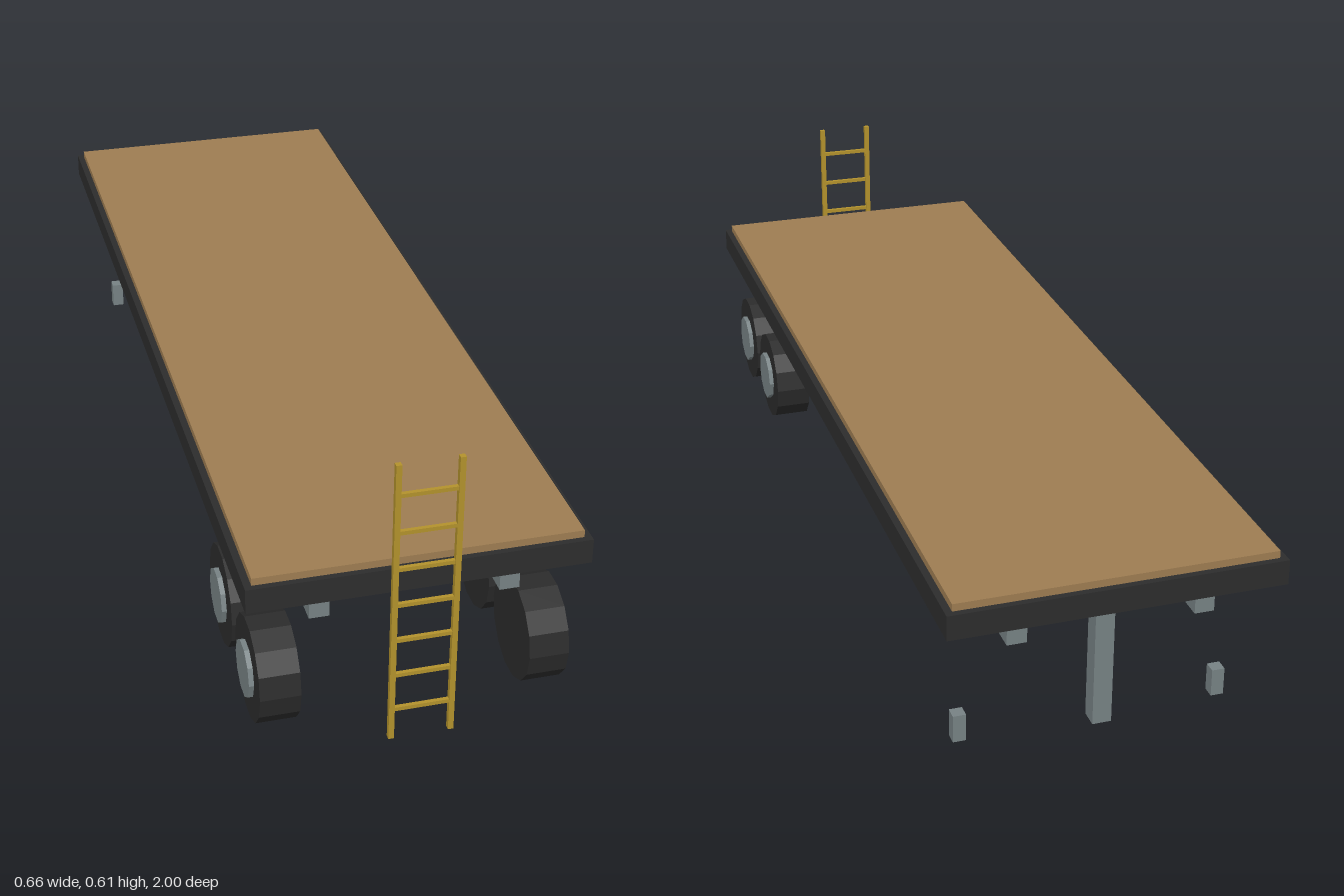
import * as THREE from 'three';

export function createModel() {
  const model = new THREE.Group();
  model.name = 'flatbedTrailer';

  const mat = (name, color, flatShading = false) => {
    const m = new THREE.MeshStandardMaterial({ color, flatShading });
    m.name = name;
    return m;
  };
  const wood = mat('deckWood', 0x9e7d52);
  const dark = mat('blackFrame', 0x2d2d2d);
  const rubber = mat('tireRubber', 0x2b2b2b, true);
  const steel = mat('greySteel', 0x778284, true);
  const yellow = mat('ladderYellow', 0xb3922c);

  // Box given by its limits on each axis
  const box = (name, material, [x0, x1], [y0, y1], [z0, z1], parent = model) => {
    const mesh = new THREE.Mesh(new THREE.BoxGeometry(x1 - x0, y1 - y0, z1 - z0), material);
    mesh.position.set((x0 + x1) / 2, (y0 + y1) / 2, (z0 + z1) / 2);
    mesh.name = name;
    parent.add(mesh);
  };

  // Cylinder lying along x
  const disc = (name, material, radius, sides, x0, x1, parent) => {
    const geometry = new THREE.CylinderGeometry(radius, radius, x1 - x0, sides);
    geometry.rotateZ(-Math.PI / 2);
    const mesh = new THREE.Mesh(geometry, material);
    mesh.position.x = (x0 + x1) / 2;
    mesh.name = name;
    parent.add(mesh);
  };

  // Deck
  box('deckFrame', dark, [-0.329, 0.329], [0.318, 0.369], [-1, 0.973]);
  box('deckBoards', wood, [-0.315, 0.315], [0.369, 0.384], [-0.987, 0.961]);

  // Support leg under the far end
  box('supportLeg', steel, [-0.019, 0.019], [0.029, 0.318], [-0.925, -0.887]);

  for (const side of [-1, 1]) {
    const span = (a, b) => (side > 0 ? [a, b] : [-b, -a]);
    box('chassisRail', steel, span(0.164, 0.203), [0.259, 0.318], [-0.957, 0.937]);
    box('footBlock', steel, span(0.251, 0.277), [0.002, 0.06], [-0.867, -0.841]);

    // Tandem wheels with hubs on the outer side
    for (const z of [0.86, 0.622]) {
      const wheel = new THREE.Group();
      wheel.name = 'wheel';
      wheel.position.set(0, 0.107, z);
      disc('tire', rubber, 0.1045, 14, ...span(0.223, 0.302), wheel);
      disc('hub', steel, 0.057, 10, ...span(0.29, 0.312), wheel);
      model.add(wheel);
    }
  }

  // Ladder
  const ladder = new THREE.Group();
  ladder.name = 'ladder';
  model.add(ladder);
  box('ladderRail', yellow, [-0.064, -0.053], [0, 0.606], [0.989, 1], ladder);
  box('ladderRail', yellow, [0.053, 0.064], [0, 0.606], [0.989, 1], ladder);
  for (let i = 0; i < 7; i++) {
    const y = 0.067 + i * 0.079;
    box('ladderRung', yellow, [-0.054, 0.054], [y - 0.004, y + 0.004], [0.9905, 0.9985], ladder);
  }

  return model;
}
